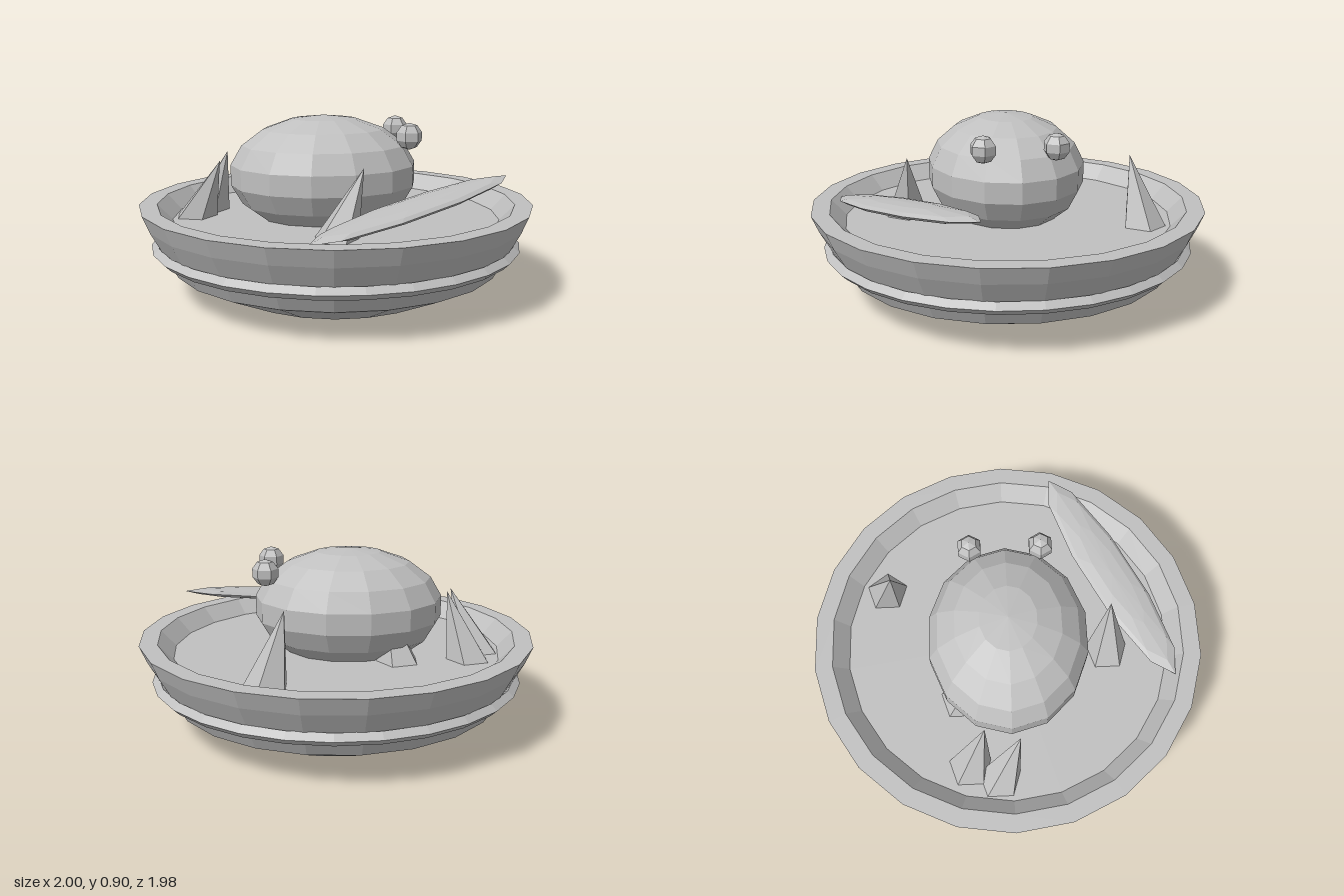
import * as THREE from 'three';

export function createModel() {
  const model = new THREE.Group();
  const stone = new THREE.MeshStandardMaterial({ color: 0xc0c0c0, flatShading: true });
  stone.name = 'plain grey';

  const add = (name, geometry, x = 0, y = 0, z = 0) => {
    const mesh = new THREE.Mesh(geometry, stone);
    mesh.name = name;
    mesh.position.set(x, y, z);
    model.add(mesh);
    return mesh;
  };

  // Bowl: outer wall, flat rim, sloping inner wall and floor
  const FLOOR = 0.38;
  const profile = [
    [0, 0], [0.54, 0], [0.838, 0.14], [0.965, 0.375], [1, 0.46],
    [0.91, 0.46], [0.835, FLOOR], [0, FLOOR],
  ].map(([r, y]) => new THREE.Vector2(r, y));
  add('bowl', new THREE.LatheGeometry(profile, 22, Math.PI / 2));

  // Raised band around the bowl
  add('bowlBand', new THREE.TorusGeometry(0.915, 0.03, 4, 28).rotateX(Math.PI / 2), 0, 0.25, 0);

  // Domed body resting in the bowl
  add('body', new THREE.SphereGeometry(1, 14, 9).scale(0.482, 0.3, 0.406), -0.063, 0.6, 0);

  // Pair of eyes
  for (const side of [1, -1]) {
    add(side > 0 ? 'frontEye' : 'backEye', new THREE.SphereGeometry(0.067, 6, 5), 0.343, 0.805, side * 0.175);
  }

  // Leaning five-sided spikes: base centre x, z, then tip x, y, z
  const spikes = [
    [-0.075, 0.515, 0.06, 0.71, 0.515],
    [0.31, -0.635, 0.225, 0.72, -0.575],
    [-0.66, -0.215, -0.55, 0.705, -0.13],
    [-0.725, -0.07, -0.59, 0.68, 0.04],
    [-0.31, -0.25, -0.25, 0.66, -0.16],
  ];
  for (const [bx, bz, tx, ty, tz] of spikes) {
    const base = FLOOR - 0.01;
    const height = ty - base;
    const cone = new THREE.ConeGeometry(0.112, height, 5, 1, false, Math.PI / 2);
    cone.translate(0, height / 2, 0);
    const p = cone.attributes.position;
    for (let i = 0; i < p.count; i++) {
      const t = p.getY(i) / height;
      p.setX(i, p.getX(i) + (tx - bx) * t);
      p.setZ(i, p.getZ(i) + (tz - bz) * t);
    }
    cone.computeVertexNormals();
    add('spike', cone, bx, base, bz);
  }

  // Long flat leaf propped against the rim
  const along = new THREE.Vector3(1.05, 0.165, -0.593).normalize();
  const across = new THREE.Vector3().crossVectors(along, new THREE.Vector3(0, 1, 0)).normalize();
  const up = new THREE.Vector3().crossVectors(across, along);
  const leaf = new THREE.SphereGeometry(1, 10, 6).scale(0.613, 0.03, 0.125);
  leaf.applyMatrix4(new THREE.Matrix4().makeBasis(along, up, across));
  add('leaf', leaf, 0.294, 0.528, 0.552);

  return model;
}
